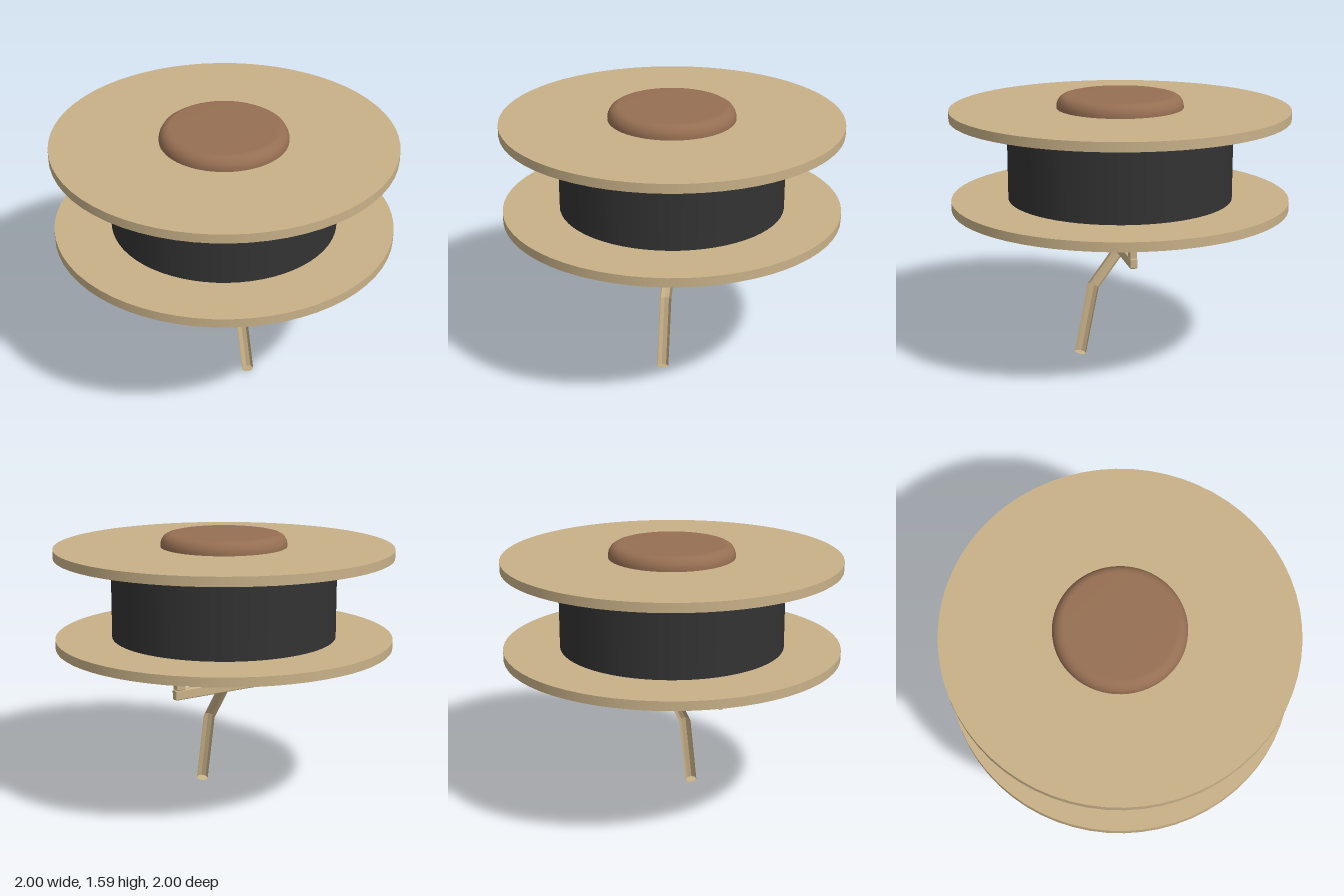
import * as THREE from 'three';
import { RoundedBoxGeometry } from 'three/addons/geometries/RoundedBoxGeometry.js';

const paleWood = new THREE.MeshStandardMaterial({ name: 'paleWood', color: 0xc8b188 });
const brownWood = new THREE.MeshStandardMaterial({ name: 'brownWood', color: 0x966f53 });
const blackCore = new THREE.MeshStandardMaterial({ name: 'blackCore', color: 0x333333 });
const paleFacets = paleWood.clone();
paleFacets.name = 'paleWoodFaceted';
paleFacets.flatShading = true;

// Mitred rod through points in the YZ plane, with capped ends
function rodGeometry(path, radius, sides) {
  const pos = [], index = [];
  const dirs = path.slice(1).map((p, i) => p.clone().sub(path[i]).normalize());
  path.forEach((p, i) => {
    const a = dirs[Math.max(i - 1, 0)], b = dirs[Math.min(i, dirs.length - 1)];
    const t = a.clone().add(b).normalize();
    const side = new THREE.Vector3(0, -t.z, t.y).multiplyScalar(1 / t.dot(a));
    for (let k = 0; k < sides; k++) {
      const ang = ((k + 0.5) / sides) * Math.PI * 2;
      const c = Math.cos(ang) * radius, s = Math.sin(ang) * radius;
      pos.push(c, p.y + side.y * s, p.z + side.z * s);
    }
  });
  for (let i = 0; i < path.length - 1; i++) {
    for (let k = 0; k < sides; k++) {
      const a = i * sides + k, b = i * sides + (k + 1) % sides;
      index.push(a, b, a + sides, b, b + sides, a + sides);
    }
  }
  const last = (path.length - 1) * sides;
  for (let k = 1; k < sides - 1; k++) {
    index.push(0, k + 1, k, last, last + k, last + k + 1);
  }
  const geo = new THREE.BufferGeometry();
  geo.setAttribute('position', new THREE.Float32BufferAttribute(pos, 3));
  geo.setIndex(index);
  const flat = geo.toNonIndexed();
  flat.computeVertexNormals();
  return flat;
}

export function createModel() {
  const model = new THREE.Group();
  model.name = 'spool';

  const add = (parent, name, geo, mat, x = 0, y = 0, z = 0) => {
    const mesh = new THREE.Mesh(geo, mat);
    mesh.name = name;
    mesh.position.set(x, y, z);
    parent.add(mesh);
    return mesh;
  };
  const disc = (name, r, y0, y1, mat) =>
    add(model, name, new THREE.CylinderGeometry(r, r, y1 - y0, 64), mat, 0, (y0 + y1) / 2);

  // Spool body
  disc('lowerFlange', 1, 0.928, 0.982, paleWood);
  disc('core', 0.665, 0.982, 1.462, blackCore);
  disc('upperFlange', 1, 1.462, 1.516, paleWood);
  disc('lowerHub', 0.187, 0.85, 0.93, brownWood);

  // Knob with a rounded shoulder
  const profile = [[0.373, 1.51], [0.373, 1.532], [0.368, 1.553], [0.355, 1.575], [0.335, 1.588], [0.31, 1.594], [0, 1.594]]
    .map(([r, y]) => new THREE.Vector2(r, y));
  add(model, 'topKnob', new THREE.LatheGeometry(profile, 64), brownWood);

  // Fork and bent handle
  const crank = new THREE.Group();
  crank.name = 'crank';
  model.add(crank);
  for (const [name, s] of [['leftForkArm', 1], ['rightForkArm', -1]]) {
    add(crank, name, new RoundedBoxGeometry(0.06, 0.25, 0.045, 2, 0.008), paleWood, s * 0.313, 0.81);
  }
  add(crank, 'forkBar', new RoundedBoxGeometry(0.7, 0.062, 0.045, 2, 0.008), paleWood, 0, 0.659);
  const path = [[0.657, 0], [0.43, 0.167], [0.007, 0.25]].map(([y, z]) => new THREE.Vector3(0, y, z));
  add(crank, 'handle', rodGeometry(path, 0.035, 8), paleFacets);

  return model;
}
